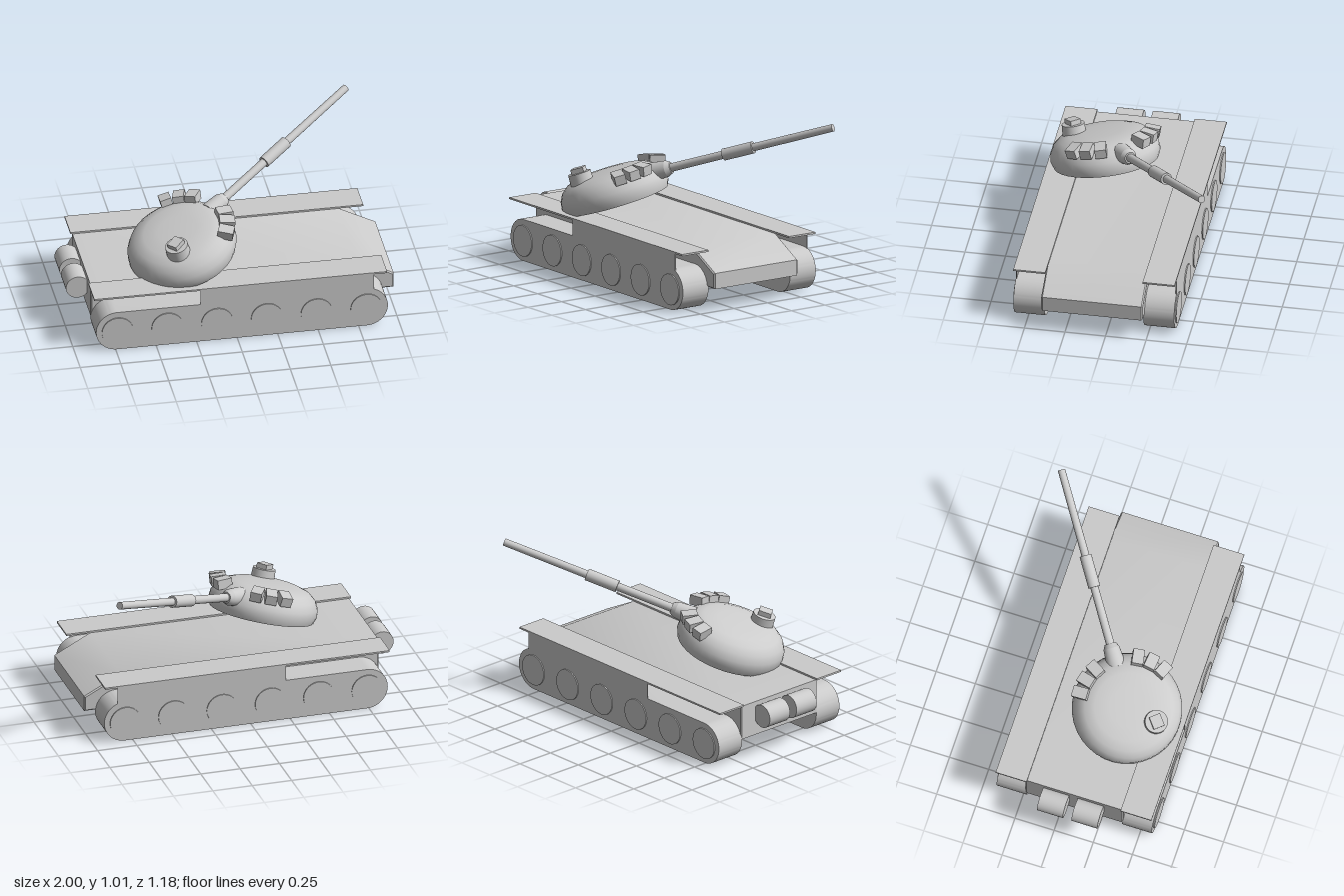
import * as THREE from 'three';
import { toCreasedNormals } from 'three/addons/utils/BufferGeometryUtils.js';

const MID = 0.085; // z of the hull's centre line
const material = new THREE.MeshStandardMaterial({ color: 0xcccccc });

function add(parent, name, geometry, x = 0, y = 0, z = 0) {
  const mesh = new THREE.Mesh(geometry, material);
  mesh.name = name;
  mesh.position.set(x, y, z);
  parent.add(mesh);
  return mesh;
}

function box(parent, name, x0, x1, y0, y1, z0, z1) {
  return add(parent, name, new THREE.BoxGeometry(x1 - x0, y1 - y0, z1 - z0),
    (x0 + x1) / 2, (y0 + y1) / 2, (z0 + z1) / 2);
}

// Extrusion along z, centred on z = 0
function slab(shape, width, bevel = 0) {
  const g = new THREE.ExtrudeGeometry(shape, {
    depth: width - 2 * bevel, bevelEnabled: bevel > 0, bevelSize: bevel, bevelOffset: -bevel,
    bevelThickness: bevel, bevelSegments: 1, curveSegments: 20,
  });
  g.translate(0, 0, -(width - 2 * bevel) / 2);
  return toCreasedNormals(g, 0.6);
}

function buildHull(tank) {
  const profile = new THREE.Shape([
    [-0.87, 0.14], [1, 0.14], [1, 0.238], [0.77, 0.358], [-0.87, 0.358],
  ].map(([x, y]) => new THREE.Vector2(x, y)));
  add(tank, 'hull', slab(profile, 0.625, 0.008), 0, 0, MID);

  // Fuel drums across the rear
  for (const z of [-0.0275, 0.1925]) {
    const drum = add(tank, 'fuelDrum', new THREE.CylinderGeometry(0.073, 0.073, 0.165, 32), -0.927, 0.278, z);
    drum.rotation.x = Math.PI / 2;
  }
}

function buildRunningGear(tank) {
  const r = 0.13;
  const loop = new THREE.Shape();
  loop.moveTo(-0.74, 0);
  loop.lineTo(0.8, 0);
  loop.absarc(0.8, r, r, -Math.PI / 2, Math.PI / 2, false);
  loop.lineTo(-0.74, 2 * r);
  loop.absarc(-0.74, r, r, Math.PI / 2, Math.PI * 1.5, false);

  for (const side of [-1, 1]) {
    const at = (d) => MID + side * d;
    add(tank, 'track', slab(loop, 0.19), 0, 0, at(0.4));
    for (let i = 0; i < 6; i++) {
      const wheel = add(tank, 'roadWheel', new THREE.CylinderGeometry(0.097, 0.097, 0.03, 36),
        -0.738 + i * 0.307, 0.126, at(0.487));
      wheel.rotation.x = Math.PI / 2;
    }
    const zs = [at(0.3), at(0.497)].sort((a, b) => a - b);
    box(tank, 'fender', -0.882, 0.925, 0.358, 0.369, ...zs);
    const skirt = [at(0.488), at(0.495)].sort((a, b) => a - b);
    box(tank, 'sideSkirt', -0.225, 0.845, 0.235, 0.36, ...skirt);
  }
}

// Turret frame: +x along the gun, +y out of the roof
function buildTurret(tank) {
  const turret = new THREE.Group();
  turret.name = 'turret';
  turret.position.set(-0.27, 0.45, 0.225);
  turret.rotation.set(0, 0.605, 0.31, 'YXZ');
  tank.add(turret);

  const dome = [[0, -0.03], [0.322, -0.03], [0.337, 0.01], [0.332, 0.055], [0.31, 0.1],
    [0.27, 0.135], [0.21, 0.156], [0.12, 0.163], [0, 0.165]];
  const lathe = new THREE.LatheGeometry(dome.map(([x, y]) => new THREE.Vector2(x, y)), 36);
  add(turret, 'turretDome', toCreasedNormals(lathe, 0.7));

  // Gun pieces: start, end, start radius, end radius
  const pieces = [
    ['gunMantlet', 0.26, 0.375, 0.06, 0.05],
    ['gunCollar', 0.375, 0.405, 0.05, 0.035],
    ['gunBarrel', 0.38, 1.5, 0.026, 0.023],
    ['gunSleeve', 0.76, 0.96, 0.037, 0.037],
  ];
  for (const [name, a, b, ra, rb] of pieces) {
    const part = add(turret, name, new THREE.CylinderGeometry(rb, ra, b - a, 24), (a + b) / 2, 0.086, 0);
    part.rotation.z = -Math.PI / 2;
  }

  // Armour blocks fanned out on both sides of the gun
  for (const side of [-1, 1]) {
    for (const degrees of [26, 42, 58]) {
      const arm = new THREE.Group();
      arm.name = 'armourBlockMount';
      arm.rotation.y = -side * THREE.MathUtils.degToRad(degrees);
      const block = add(arm, 'armourBlock', new THREE.BoxGeometry(0.095, 0.06, 0.07), 0.305, 0.137, 0);
      block.rotation.z = -0.3;
      turret.add(arm);
    }
  }

  // Commander's cupola with its hatch block
  add(turret, 'cupola', new THREE.CylinderGeometry(0.07, 0.073, 0.075, 28), -0.13, 0.172, 0.132);
  const hatch = add(turret, 'hatchBlock', new THREE.BoxGeometry(0.08, 0.035, 0.07), -0.13, 0.222, 0.132);
  hatch.rotation.y = 0.1;
}

export function createModel() {
  const tank = new THREE.Group();
  tank.name = 'tank';
  buildHull(tank);
  buildRunningGear(tank);
  buildTurret(tank);
  return tank;
}
